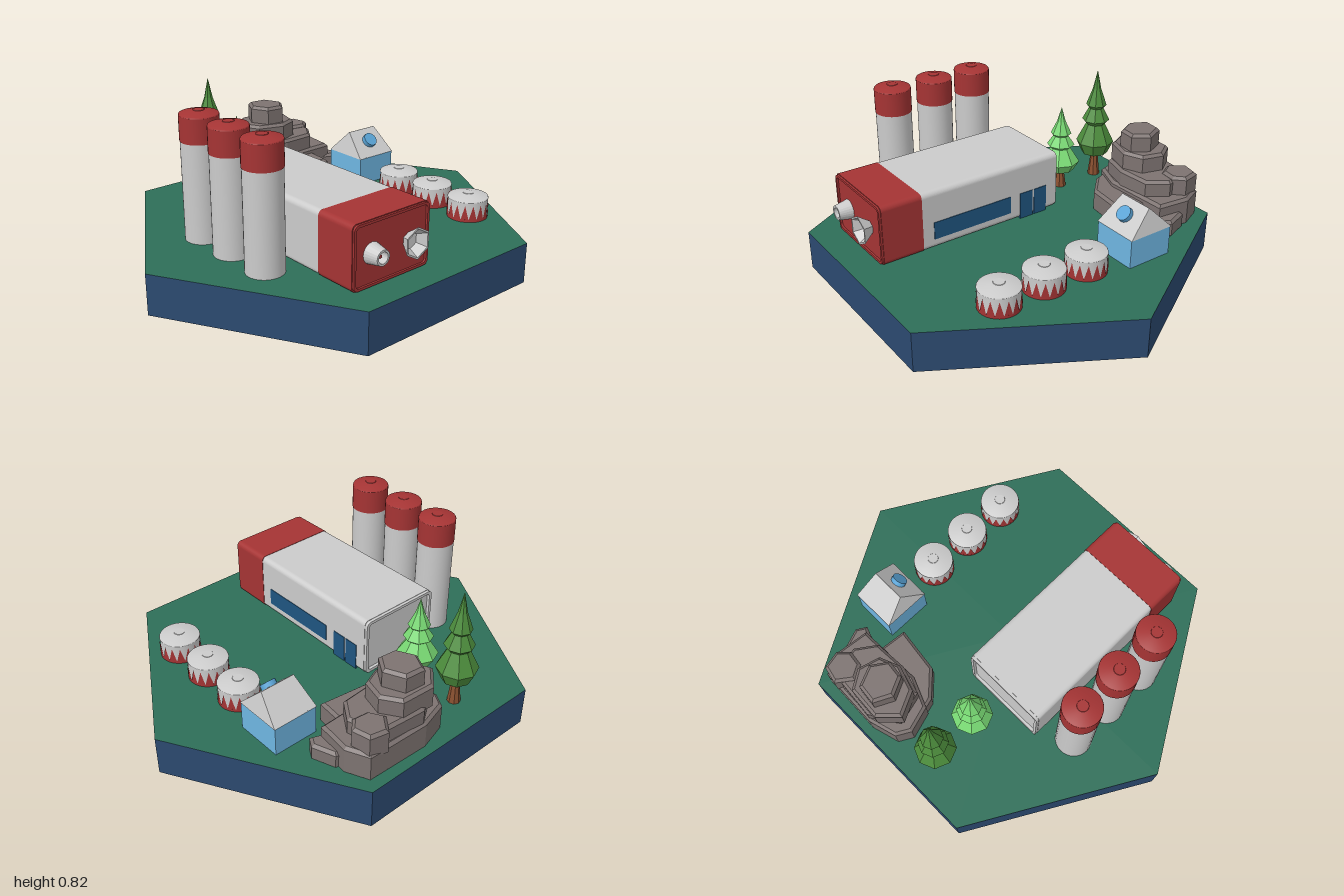
import * as THREE from 'three';

const mat = (color, flat = false, side = THREE.FrontSide) =>
  new THREE.MeshStandardMaterial({ color, flatShading: flat, side });
const GREY = 0xcccccc;
const grey = mat(GREY), greyFlat = mat(GREY, true), greyOpen = mat(GREY, true, THREE.DoubleSide);
const red = mat(0xa53434), glass = mat(0x1f5580), skyBlue = mat(0x6fb6e2, true);
const rockMat = mat(0x7d7371, true), bark = mat(0x8a5030, true);
const navy = mat(0x2c4a70, true), grass = mat(0x2d6e58, true);

function add(parent, name, geometry, material, x = 0, y = 0, z = 0) {
  const mesh = new THREE.Mesh(geometry, material);
  mesh.name = name;
  mesh.position.set(x, y, z);
  parent.add(mesh);
  return mesh;
}

function addGroup(parent, name, x = 0, y = 0, z = 0) {
  const g = new THREE.Group();
  g.name = name;
  g.position.set(x, y, z);
  parent.add(g);
  return g;
}

// Shallow domed lid with a small raised button
function addLid(parent, r, y, material) {
  const profile = [[r, 0], [r * 0.97, 0.006], [r * 0.35, 0.02], [0, 0.021]]
    .map(([px, py]) => new THREE.Vector2(px, py));
  add(parent, 'lid', new THREE.LatheGeometry(profile, 32), material, 0, y, 0);
  add(parent, 'lidButton', new THREE.CylinderGeometry(0.026, 0.03, 0.006, 16), material, 0, y + 0.019, 0);
}

function addSilo(parent, x, z) {
  const silo = addGroup(parent, 'silo', x, 0.2, z);
  add(silo, 'siloBody', new THREE.CylinderGeometry(0.09, 0.09, 0.48, 32), grey, 0, 0.24, 0);
  add(silo, 'siloCap', new THREE.CylinderGeometry(0.092, 0.092, 0.12, 32), red, 0, 0.54, 0);
  addLid(silo, 0.092, 0.6, red);
}

// Ring of triangles wrapped round a tank
function teethGeometry(count, r, y0, y1) {
  const pos = [];
  const corner = (a, y) => pos.push(r * Math.sin(a), y, r * Math.cos(a));
  const step = (Math.PI * 2) / count;
  for (let i = 0; i < count; i++) {
    corner(i * step, y0);
    corner((i + 1) * step, y0);
    corner((i + 0.5) * step, y1);
  }
  const g = new THREE.BufferGeometry();
  g.setAttribute('position', new THREE.Float32BufferAttribute(pos, 3));
  g.computeVertexNormals();
  return g;
}

function addTank(parent, x, z) {
  const tank = addGroup(parent, 'tank', x, 0.2, z);
  add(tank, 'tankBody', new THREE.CylinderGeometry(0.098, 0.098, 0.1, 32), grey, 0, 0.05, 0);
  add(tank, 'tankFoot', new THREE.CylinderGeometry(0.1, 0.1, 0.014, 32), red, 0, 0.007, 0);
  add(tank, 'tankTeeth', teethGeometry(16, 0.1015, 0.012, 0.085),
    mat(0xa53434, true, THREE.DoubleSide));
  addLid(tank, 0.1, 0.1, grey);
}

function roundedRect(path, w, h, r) {
  const x = w / 2, y = h / 2;
  path.absarc(x - r, y - r, r, 0, Math.PI / 2);
  path.absarc(-x + r, y - r, r, Math.PI / 2, Math.PI);
  path.absarc(-x + r, -y + r, r, Math.PI, Math.PI * 1.5);
  path.absarc(x - r, -y + r, r, Math.PI * 1.5, Math.PI * 2);
  path.closePath();
  return path;
}

function sectionGeometry(w, h, depth, rim = 0) {
  const shape = roundedRect(new THREE.Shape(), w, h, 0.025);
  if (rim) shape.holes.push(roundedRect(new THREE.Path(), w - rim * 2, h - rim * 2, 0.018));
  return new THREE.ExtrudeGeometry(shape, { depth, bevelEnabled: false, curveSegments: 5 });
}

function addHall(parent) {
  const hall = addGroup(parent, 'hall', -0.23, 0.352, 0);
  add(hall, 'hallBody', sectionGeometry(0.44, 0.3, 0.775), grey, 0, 0, -0.27);
  add(hall, 'rearRim', sectionGeometry(0.436, 0.296, 0.015, 0.015), grey, 0, 0, -0.285);
  add(hall, 'frontBlock', sectionGeometry(0.444, 0.304, 0.21), red, 0, 0, 0.5);
  add(hall, 'frontRim', sectionGeometry(0.436, 0.296, 0.012, 0.012), red, 0, 0, 0.708);

  // Long window and double door on the left side
  add(hall, 'longWindow', new THREE.BoxGeometry(0.01, 0.09, 0.44), glass, 0.218, -0.057, 0.22);
  for (const z of [-0.095, -0.18])
    add(hall, 'doorPanel', new THREE.BoxGeometry(0.01, 0.14, 0.075), glass, 0.218, -0.082, z);

  // Round exhaust with a recessed bore
  const pipe = [[0.05, 0], [0.036, 0.07], [0.026, 0.07], [0.024, 0.02], [0, 0.02]]
    .map(([r, y]) => new THREE.Vector2(r, y));
  const exhaust = add(hall, 'roundExhaust',
    new THREE.LatheGeometry(pipe, 24), greyOpen, -0.11, 0, 0.708);
  exhaust.rotation.x = Math.PI / 2;
  const core = add(hall, 'exhaustCore',
    new THREE.CylinderGeometry(0.009, 0.009, 0.04, 12), red, -0.11, 0, 0.74);
  core.rotation.x = Math.PI / 2;

  // Six-sided flared horn
  const horn = [[0.032, 0], [0.075, 0.06], [0.066, 0.06], [0.04, 0.015], [0, 0.015]]
    .map(([r, y]) => new THREE.Vector2(r, y));
  const flare = add(hall, 'flaredHorn',
    new THREE.LatheGeometry(horn, 6), greyOpen, 0.1, 0, 0.71);
  flare.rotation.x = Math.PI / 2;
}

function addHouse(parent) {
  const house = addGroup(parent, 'house', 0.545, 0.2, -0.31);
  add(house, 'houseWalls', new THREE.BoxGeometry(0.23, 0.147, 0.24), skyBlue, 0, 0.0735, 0);

  // Roof: box whose top edges are pulled in to a ridge
  const roof = new THREE.BoxGeometry(0.236, 0.12, 0.244);
  const p = roof.attributes.position;
  for (let i = 0; i < p.count; i++)
    if (p.getY(i) > 0) p.setXYZ(i, Math.sign(p.getX(i)) * 0.09, 0.06, Math.sign(p.getZ(i)) * 0.001);
  roof.computeVertexNormals();
  add(house, 'houseRoof', roof, greyFlat, 0, 0.205, 0);

  const skylight = add(house, 'skylight',
    new THREE.CylinderGeometry(0.038, 0.038, 0.04, 16), mat(0x5aa4d6), 0, 0.212, 0.06);
  skylight.rotation.x = Math.PI / 4;
}

function addTree(parent, x, z, height, color) {
  const R = 0.1;
  const tree = addGroup(parent, 'tree', x, 0.2, z);
  const tiers = [[0, 0.17], [0.7, 0.22], [1, 0.33], [0.5, 0.5], [0.72, 0.54],
    [0.38, 0.65], [0.54, 0.68], [0.22, 0.83], [0, 1]]
    .map(([r, t]) => new THREE.Vector2(r * R, t * height));
  add(tree, 'foliage', new THREE.LatheGeometry(tiers, 8), mat(color, true));
  add(tree, 'trunk', new THREE.CylinderGeometry(0.018, 0.032, height * 0.22, 8), bark, 0, height * 0.11, 0);
}

// Rock slab: bevelled prism from an x/z outline
function addRock(parent, y0, y1, outline) {
  const b = 0.014;
  const shape = new THREE.Shape(outline.map(([x, z]) => new THREE.Vector2(x, -z)).reverse());
  const g = new THREE.ExtrudeGeometry(shape, {
    depth: y1 - y0 - b * 2, bevelThickness: b, bevelSize: b, bevelOffset: -b, bevelSegments: 1,
  });
  g.rotateX(-Math.PI / 2);
  add(parent, 'rock', g, rockMat, 0, y0 + b, 0);
}

function addRocks(parent) {
  const rocks = addGroup(parent, 'rocks');
  // Front slab and small right-hand steps
  addRock(rocks, 0.19, 0.31, [[0, -0.6], [0.02, -0.53], [0.13, -0.42], [0.37, -0.39], [0.39, -0.6]]);
  addRock(rocks, 0.19, 0.28, [[0.42, -0.68], [0.42, -0.54], [0.53, -0.5], [0.56, -0.55], [0.52, -0.66]]);
  // Wide base
  addRock(rocks, 0.19, 0.34, [[-0.04, -0.71], [0.0, -0.58], [0.15, -0.52], [0.49, -0.53],
    [0.51, -0.7], [0.46, -0.81], [0.14, -0.82], [0.0, -0.78]]);
  // Middle shelf
  addRock(rocks, 0.3, 0.42, [[0.02, -0.72], [0.06, -0.57], [0.2, -0.53], [0.37, -0.54],
    [0.44, -0.64], [0.4, -0.79], [0.15, -0.81]]);
  // Right-hand boulder
  addRock(rocks, 0.3, 0.435, [[0.31, -0.74], [0.35, -0.67], [0.43, -0.66], [0.48, -0.71],
    [0.46, -0.8], [0.37, -0.82]]);
  // Tower
  addRock(rocks, 0.38, 0.51, [[0, -0.71], [0.06, -0.59], [0.19, -0.55], [0.29, -0.59],
    [0.32, -0.7], [0.26, -0.79], [0.09, -0.8]]);
  addRock(rocks, 0.48, 0.6, [[0.075, -0.68], [0.12, -0.59], [0.21, -0.58], [0.265, -0.66],
    [0.22, -0.76], [0.12, -0.77]]);
}

export function createModel() {
  const model = new THREE.Group();
  model.name = 'islandFactory';

  // Six-sided base with a grass top
  const base = new THREE.CylinderGeometry(1, 1, 0.2, 6);
  base.rotateY(Math.PI / 6);
  add(model, 'base', base, [navy, grass, navy], 0, 0.1, 0);

  for (const z of [-0.16, 0.07, 0.31]) addSilo(model, -0.59, z);
  for (const z of [-0.02, 0.22, 0.46]) addTank(model, 0.55, z);
  addHall(model);
  addHouse(model);
  addTree(model, -0.19, -0.69, 0.6, 0x4c8c3c);
  addTree(model, -0.185, -0.45, 0.45, 0x78d873);
  addRocks(model);
  return model;
}
